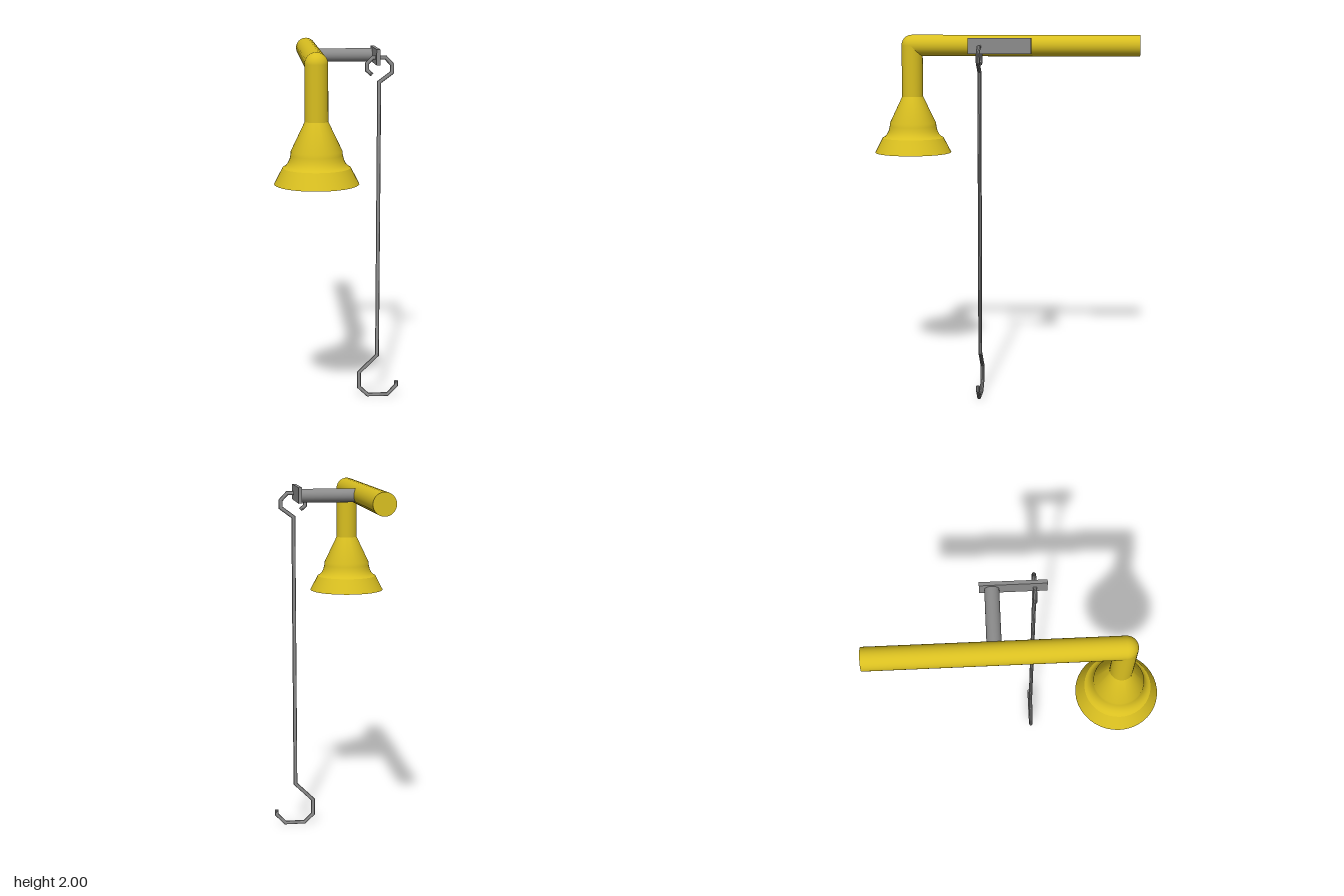
import * as THREE from 'three';
import { toCreasedNormals } from 'three/addons/utils/BufferGeometryUtils.js';

const PIPE_X = -0.135, PIPE_Y = 1.94, BEND_Z = 0.535, PIPE_R = 0.06;

// Sweeps a round section along a flat (x, y) polyline with mitred corners.
function mitredRod(points, radius, sides) {
  const path = points.map(([x, y]) => new THREE.Vector2(x, y));
  const positions = [], index = [];
  const last = path.length - 1;
  path.forEach((p, i) => {
    const a = p.clone().sub(path[Math.max(i - 1, 0)]).normalize();
    const b = path[Math.min(i + 1, last)].clone().sub(p).normalize();
    const dir = a.clone().add(b).normalize();
    const stretch = 1 / dir.dot(i < last ? b : a);
    for (let k = 0; k < sides; k++) {
      const t = (k / sides) * Math.PI * 2;
      const across = Math.cos(t) * radius * stretch;
      positions.push(p.x - dir.y * across, p.y + dir.x * across, Math.sin(t) * radius);
    }
  });
  for (let i = 0; i < last; i++) {
    for (let k = 0; k < sides; k++) {
      const a = i * sides + k, b = i * sides + (k + 1) % sides;
      index.push(a, b, a + sides, b, b + sides, a + sides);
    }
  }
  // End caps
  for (let k = 1; k < sides - 1; k++) {
    const e = last * sides;
    index.push(0, k + 1, k, e, e + k, e + k + 1);
  }
  const geometry = new THREE.BufferGeometry();
  geometry.setAttribute('position', new THREE.Float32BufferAttribute(positions, 3));
  geometry.setIndex(index);
  return toCreasedNormals(geometry, 0.6);
}

export function createModel() {
  const model = new THREE.Group();
  const yellow = new THREE.MeshStandardMaterial({ color: 0xd9bf20 });
  const yellowShell = new THREE.MeshStandardMaterial({ color: 0xd9bf20, side: THREE.DoubleSide });
  const grey = new THREE.MeshStandardMaterial({ color: 0x8c8c8c });

  const add = (name, geometry, material, x, y, z) => {
    const mesh = new THREE.Mesh(geometry, material);
    mesh.name = name;
    mesh.position.set(x, y, z);
    model.add(mesh);
    return mesh;
  };

  // Overhead pipe, rounded elbow and drop pipe
  const pipeLength = BEND_Z + 0.755;
  add('overheadPipe', new THREE.CylinderGeometry(PIPE_R, PIPE_R, pipeLength, 32), yellow,
    PIPE_X, PIPE_Y, BEND_Z - pipeLength / 2).rotation.x = Math.PI / 2;
  add('elbow', new THREE.SphereGeometry(PIPE_R, 32, 20), yellow, PIPE_X, PIPE_Y, BEND_Z);
  add('dropPipe', new THREE.CylinderGeometry(PIPE_R, PIPE_R, PIPE_Y - 1.65, 32), yellow,
    PIPE_X, (PIPE_Y + 1.65) / 2, BEND_Z);

  // Shower head: inner funnel, rim, flared skirt, stepped neck and cone
  const profile = [
    [0, 1.6], [0.045, 1.6], [0.115, 1.45], [0.18, 1.33],
    [0.219, 1.33], [0.175, 1.415], [0.162, 1.422], [0.15, 1.435],
    [0.14, 1.455], [0.134, 1.48], [0.132, 1.5], [0.06, 1.65],
  ].map(([r, y]) => new THREE.Vector2(r, y));
  add('showerHead', toCreasedNormals(new THREE.LatheGeometry(profile, 40), 0.42), yellowShell,
    PIPE_X, 0, BEND_Z);

  // Side arm and the plate that carries the pull rod
  add('sideArm', new THREE.CylinderGeometry(0.037, 0.037, 0.3, 24), grey, 0.06, 1.94, -0.107)
    .rotation.z = Math.PI / 2;
  add('leverPlate', new THREE.BoxGeometry(0.02, 0.085, 0.34), grey, 0.217, 1.945, 0);

  // Pull rod with an angular hook at each end
  const rod = [
    [0.188, 1.848], [0.162, 1.872], [0.162, 1.91], [0.192, 1.94], [0.262, 1.94],
    [0.298, 1.902], [0.298, 1.86], [0.228, 1.808], [0.228, 0.25],
    [0.125, 0.148], [0.125, 0.06], [0.175, 0.012], [0.29, 0.012],
    [0.34, 0.066], [0.34, 0.092],
  ];
  add('pullRod', mitredRod(rod, 0.011, 10), grey, 0, 0, 0.107);

  return model;
}
